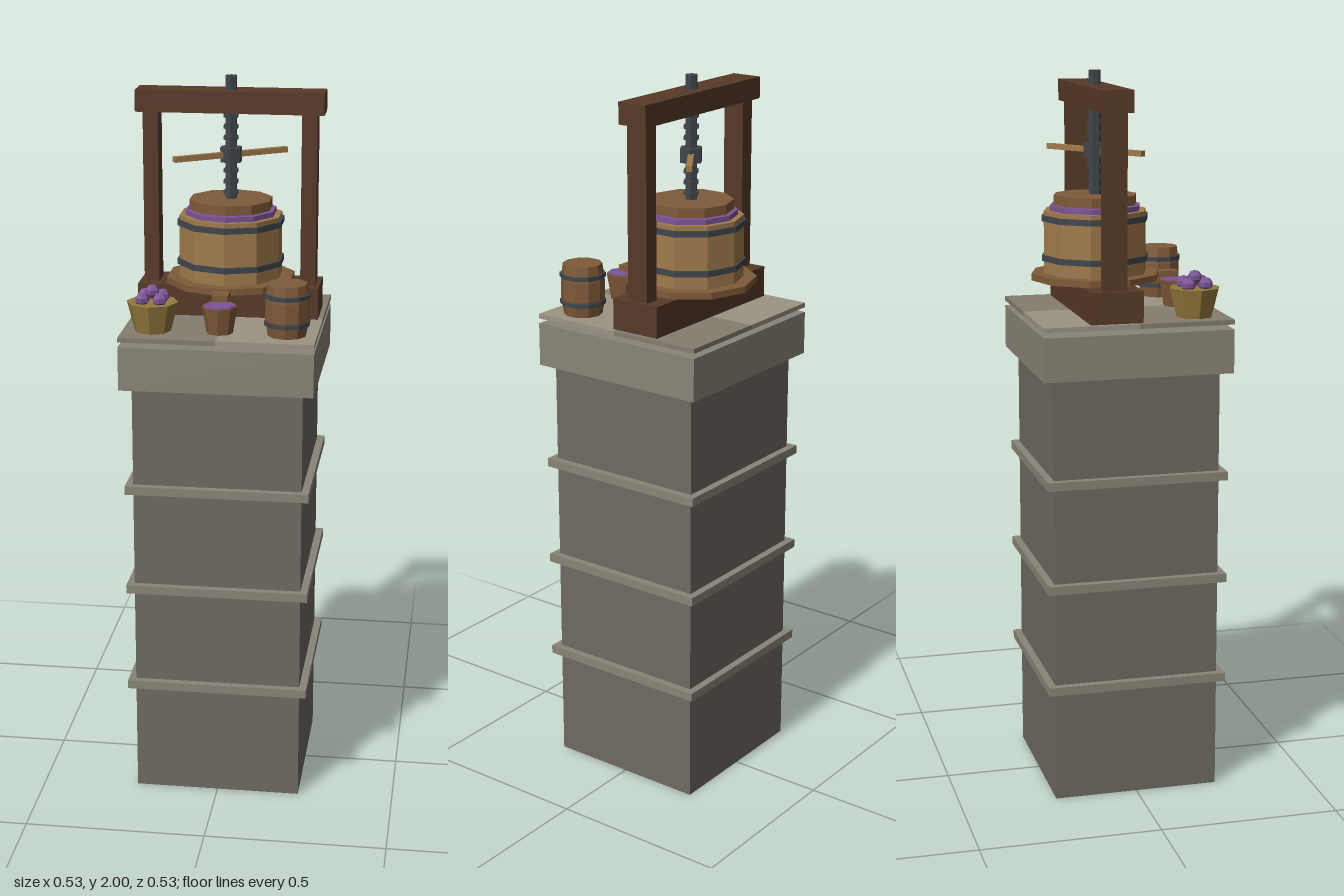
import * as THREE from 'three';

const COLORS = {
  stone: 0x6f6a62, trim: 0x8a8578, tileLight: 0x9c9585, tileDark: 0x857e70,
  darkWood: 0x573a28, wood: 0x7f5a39, oak: 0xa07a4c, iron: 0x40464b,
  grape: 0x7d5496, wicker: 0x957a3c,
};
const mats = {};
const mat = (c) => (mats[c] ??= new THREE.MeshStandardMaterial({ color: COLORS[c], flatShading: true }));

function add(parent, name, geometry, color, x = 0, y = 0, z = 0) {
  const mesh = new THREE.Mesh(geometry, mat(color));
  mesh.name = name;
  mesh.position.set(x, y, z);
  parent.add(mesh);
  return mesh;
}

// box and prism given by their bottom and top heights
const box = (p, name, color, w, d, y0, y1, x = 0, z = 0) =>
  add(p, name, new THREE.BoxGeometry(w, y1 - y0, d), color, x, (y0 + y1) / 2, z);
const prism = (p, name, color, rTop, rBottom, sides, y0, y1) =>
  add(p, name, new THREE.CylinderGeometry(rTop, rBottom, y1 - y0, sides), color, 0, (y0 + y1) / 2, 0);

function group(parent, name, x, y, z) {
  const g = new THREE.Group();
  g.name = name;
  g.position.set(x, y, z);
  parent.add(g);
  return g;
}

export function createModel() {
  const model = new THREE.Group();
  model.name = 'winePressTower';

  // stone tower with string courses and a wide cap
  box(model, 'towerShaft', 'stone', 0.464, 0.464, 0, 1.2);
  for (const y of [0.325, 0.617, 0.91]) box(model, 'stringCourse', 'trim', 0.505, 0.505, y - 0.012, y + 0.012);
  box(model, 'towerCap', 'trim', 0.526, 0.526, 1.2, 1.32);

  // four paving slabs in a checker, slightly above the cap
  for (const sx of [-1, 1]) for (const sz of [-1, 1]) {
    box(model, 'pavingSlab', sx === sz ? 'tileLight' : 'tileDark', 0.263, 0.263, 1.334, 1.347, sx * 0.1315, sz * 0.1315);
  }

  const top = 1.347;
  const press = group(model, 'press', 0, top, -0.06);

  // timber frame
  box(press, 'baseBeam', 'darkWood', 0.5, 0.145, 0, 0.086);
  for (const s of [-1, 1]) box(press, 'post', 'darkWood', 0.042, 0.062, 0.08, 0.56, s * 0.217);
  box(press, 'crossBeam', 'darkWood', 0.514, 0.087, 0.556, 0.615);

  // juice tray and spout
  prism(press, 'tray', 'wood', 0.18, 0.18, 10, 0.086, 0.104);
  box(press, 'spout', 'wood', 0.042, 0.08, 0.084, 0.1, 0, 0.194);

  // slatted basket, hoops, fruit and pressing plate
  prism(press, 'pressBasket', 'oak', 0.144, 0.144, 10, 0.104, 0.276);
  for (const y of [0.147, 0.256]) prism(press, 'basketHoop', 'iron', 0.15, 0.15, 10, y - 0.008, y + 0.008);
  prism(press, 'crushedGrapes', 'grape', 0.127, 0.127, 10, 0.25, 0.29);
  prism(press, 'pressPlate', 'wood', 0.116, 0.116, 10, 0.292, 0.318);

  // threaded screw with a hub and turning bar
  prism(press, 'screw', 'iron', 0.017, 0.017, 6, 0.31, 0.653);
  for (let i = 0; i < 8; i++) {
    const y = 0.335 + i * 0.03;
    prism(press, 'screwThread', 'iron', 0.022, 0.022, 6, y - 0.005, y + 0.005);
  }
  prism(press, 'screwHub', 'iron', 0.032, 0.032, 6, 0.419, 0.459);
  box(press, 'turningBar', 'oak', 0.345, 0.016, 0.431, 0.446).rotation.y = 0.6;

  // wicker basket heaped with grapes
  const basket = group(model, 'grapeBasket', -0.182, top, 0.173);
  prism(basket, 'wickerBasket', 'wicker', 0.07, 0.05, 8, 0, 0.08);
  const grape = new THREE.SphereGeometry(0.02, 6, 5).rotateY(Math.PI / 6);
  for (const sx of [-1, 1]) for (const sz of [-1, 1]) {
    add(basket, 'grape', grape, 'grape', sx * 0.024, 0.09, sz * 0.024);
  }
  add(basket, 'topGrape', grape, 'grape', 0, 0.107, 0);

  // bucket of juice below the spout
  const bucket = group(model, 'juiceBucket', 0, top, 0.173);
  prism(bucket, 'bucket', 'wood', 0.048, 0.036, 8, 0, 0.073);
  prism(bucket, 'juice', 'grape', 0.043, 0.043, 8, 0.066, 0.076);

  // bulging barrel with iron hoops
  const barrel = group(model, 'barrel', 0.182, top, 0.172);
  const profile = [[0, 0], [0.053, 0], [0.06, 0.045], [0.06, 0.097], [0.054, 0.142], [0, 0.142]]
    .map(([r, y]) => new THREE.Vector2(r, y));
  add(barrel, 'barrelBody', new THREE.LatheGeometry(profile, 10), 'wood');
  for (const y of [0.035, 0.11]) prism(barrel, 'barrelHoop', 'iron', 0.063, 0.063, 10, y - 0.006, y + 0.006);

  return model;
}
